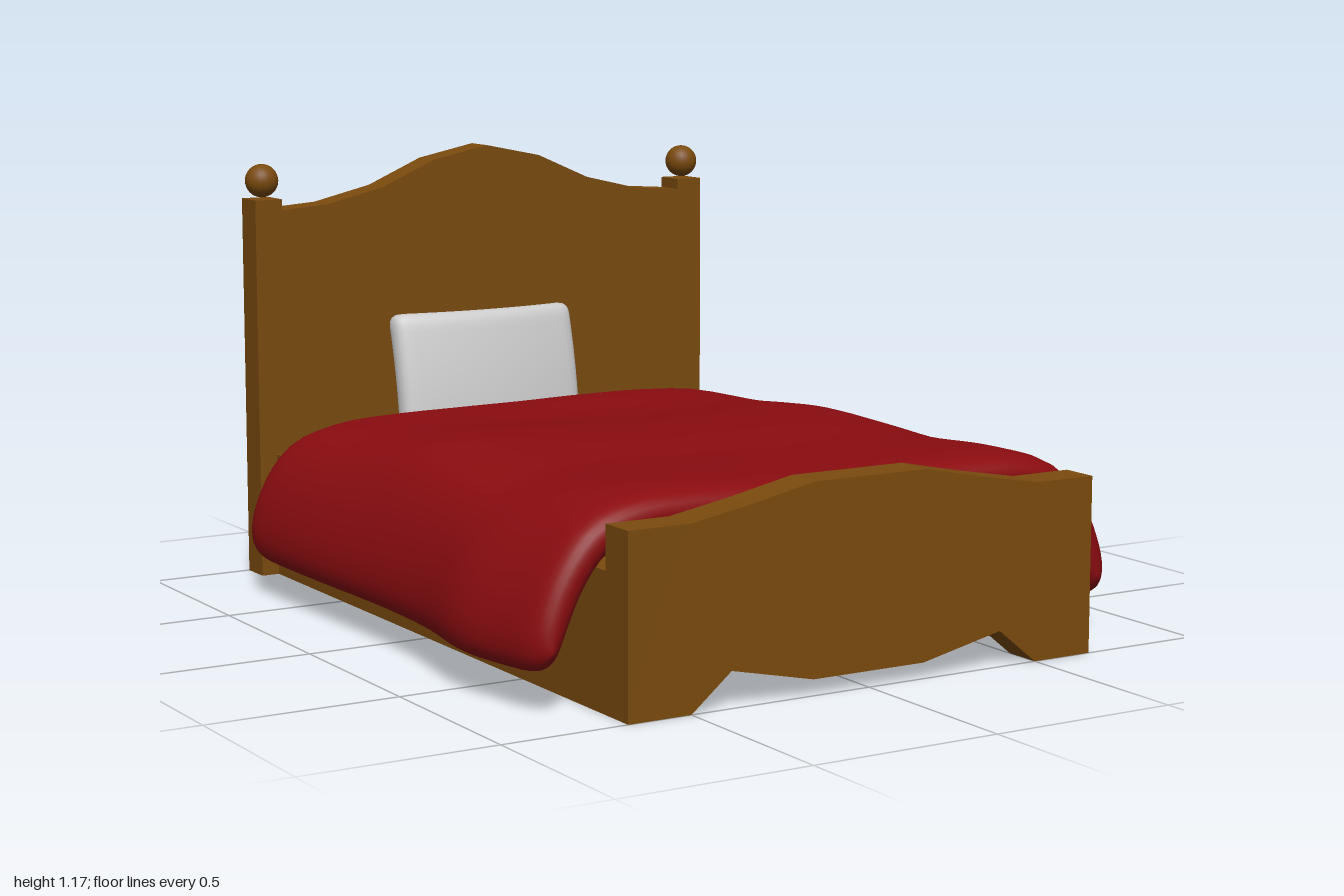
import * as THREE from 'three';
import { mergeVertices } from 'three/addons/utils/BufferGeometryUtils.js';

const wood = new THREE.MeshStandardMaterial({ color: 0x7a4a0e });
const red = new THREE.MeshStandardMaterial({ color: 0x8a0c10 });
const grey = new THREE.MeshStandardMaterial({ color: 0xcccccc });

function add(group, name, geometry, material, x = 0, y = 0, z = 0) {
  const mesh = new THREE.Mesh(geometry, material);
  mesh.name = name;
  mesh.position.set(x, y, z);
  group.add(mesh);
}

// Symmetric board: top and bottom outlines listed from the outside to the middle
function board(top, bottom, depth) {
  const mirror = pts => pts.filter(p => p[0] > 0).map(([x, y]) => [-x, y]).reverse();
  const right = [...bottom].reverse();
  const outline = [...right, ...top, ...mirror(top), ...mirror(right)];
  const shape = new THREE.Shape(outline.map(([x, y]) => new THREE.Vector2(x, y)));
  return new THREE.ExtrudeGeometry(shape, { depth, bevelEnabled: false });
}

// Thick cloth draped over the bed: a soft strip whose section follows a curve
function blanketGeometry() {
  const half = [[0.2, 0.433], [0.4, 0.435], [0.56, 0.425], [0.665, 0.39],
    [0.73, 0.32], [0.775, 0.23], [0.795, 0.16], [0.8, 0.095]];
  const pts = [...half.map(([x, y]) => [-x, y]).reverse(), [0, 0.43], ...half];
  const curve = new THREE.CatmullRomCurve3(pts.map(([x, y]) => new THREE.Vector3(x, y, 0)));
  curve.arcLengthDivisions = 400;
  const rows = 48, across = 56, ring = across * 2;
  const pos = [], index = [];
  const roundOff = t => Math.sqrt(Math.max(0, 1 - Math.abs(t) ** 24));
  for (let i = 0; i <= rows; i++) {
    const v = Math.sin((i / rows - 0.5) * Math.PI);
    const z = 0.06 + 0.82 * v;
    const flare = 0.035 * Math.exp(-(((z - 0.55) / 0.18) ** 2)) - 0.012 * Math.exp(-((z / 0.3) ** 2));
    const lift = -0.02 + 0.03 * THREE.MathUtils.smoothstep(z, -0.45, 0)
      - 0.01 * Math.exp(-(((z - 0.42) / 0.16) ** 2));
    for (let j = 0; j < ring; j++) {
      const side = j < across ? 1 : -1;
      const u = Math.sin((j / across - 0.5) * Math.PI);
      const s = 0.5 + 0.5 * u * (1 - 0.06 * Math.abs(v) ** 24);
      const p = curve.getPointAt(s), t = curve.getTangentAt(s);
      const thick = 0.055 * roundOff(u) * roundOff(v) * side;
      const hang = THREE.MathUtils.smoothstep(Math.abs(p.x), 0.6, 0.8);
      const ripple = 0.006 * Math.sin(5 * p.x + 1) * Math.sin(6 * z) * (1 - hang);
      pos.push(p.x - t.y * thick + Math.sign(p.x) * flare * hang,
        p.y + t.x * thick + lift * (1 - hang) + ripple, z);
    }
  }
  for (let i = 0; i < rows; i++) {
    for (let j = 0; j < ring; j++) {
      const k = (j + 1) % ring;
      const a = i * ring + j, b = a + ring, c = i * ring + k, d = c + ring;
      index.push(a, b, c, c, b, d);
    }
  }
  let g = new THREE.BufferGeometry();
  g.setAttribute('position', new THREE.Float32BufferAttribute(pos, 3));
  g.setIndex(index);
  g = mergeVertices(g, 1e-5);
  g.computeVertexNormals();
  return g;
}

// Rounded cushion, bowed forward in the middle and leaning back at the top
function pillowGeometry() {
  const w = 0.57, h = 0.37, d = 0.068, r = 0.03;
  let g = new THREE.BoxGeometry(w, h, d, 30, 22, 6);
  const p = g.attributes.position, v = new THREE.Vector3(), core = new THREE.Vector3();
  const lim = new THREE.Vector3(w / 2 - r, h / 2 - r, d / 2 - r);
  const neg = lim.clone().negate();
  for (let i = 0; i < p.count; i++) {
    v.fromBufferAttribute(p, i);
    core.copy(v).clamp(neg, lim);
    v.sub(core).setLength(r).add(core);
    const up = v.y / h + 0.5;
    const z = v.z - 0.035 * (v.x / (w / 2)) ** 2 - 0.025 * up - 0.045 * up * up;
    p.setXYZ(i, v.x, v.y + 0.15 * v.z * up, z);
  }
  g.deleteAttribute('normal');
  g.deleteAttribute('uv');
  g = mergeVertices(g, 1e-5);
  g.computeVertexNormals();
  return g;
}

export function createModel() {
  const bed = new THREE.Group();
  bed.name = 'bed';

  // Headboard with raised corner posts and a crowned middle
  add(bed, 'headboard', board(
    [[0.72, 1.05], [0.64, 1.05], [0.64, 1.02], [0.5, 1.03], [0.33, 1.07], [0.17, 1.14], [0, 1.175]],
    [[0.72, 0]], 0.09), wood, 0, 0, -1);

  // Footboard with an arched top and a cut-out below
  add(bed, 'footboard', board(
    [[0.67, 0.45], [0.5, 0.45], [0.33, 0.48], [0.16, 0.515]],
    [[0.67, 0], [0.5, 0], [0.39, 0.09], [0.16, 0.04]], 0.1), wood, 0, 0, 0.9);

  // Finials and side rails
  for (const [side, s] of [['left', 1], ['right', -1]]) {
    add(bed, side + 'Finial', new THREE.SphereGeometry(0.046, 24, 16), wood, s * 0.68, 1.1, -0.955);
    add(bed, side + 'Rail', new THREE.BoxGeometry(0.1, 0.34, 1.81), wood, s * 0.62, 0.17, -0.005);
  }

  // Base panel and mattress
  add(bed, 'basePanel', new THREE.BoxGeometry(1.14, 0.06, 1.81), wood, 0, 0.17, -0.005);
  add(bed, 'mattress', new THREE.BoxGeometry(1.14, 0.135, 1.81), grey, 0, 0.2675, -0.005);

  // Bedding
  add(bed, 'blanket', blanketGeometry(), red);
  add(bed, 'pillow', pillowGeometry(), grey, -0.035, 0.525, -0.795);
  return bed;
}
